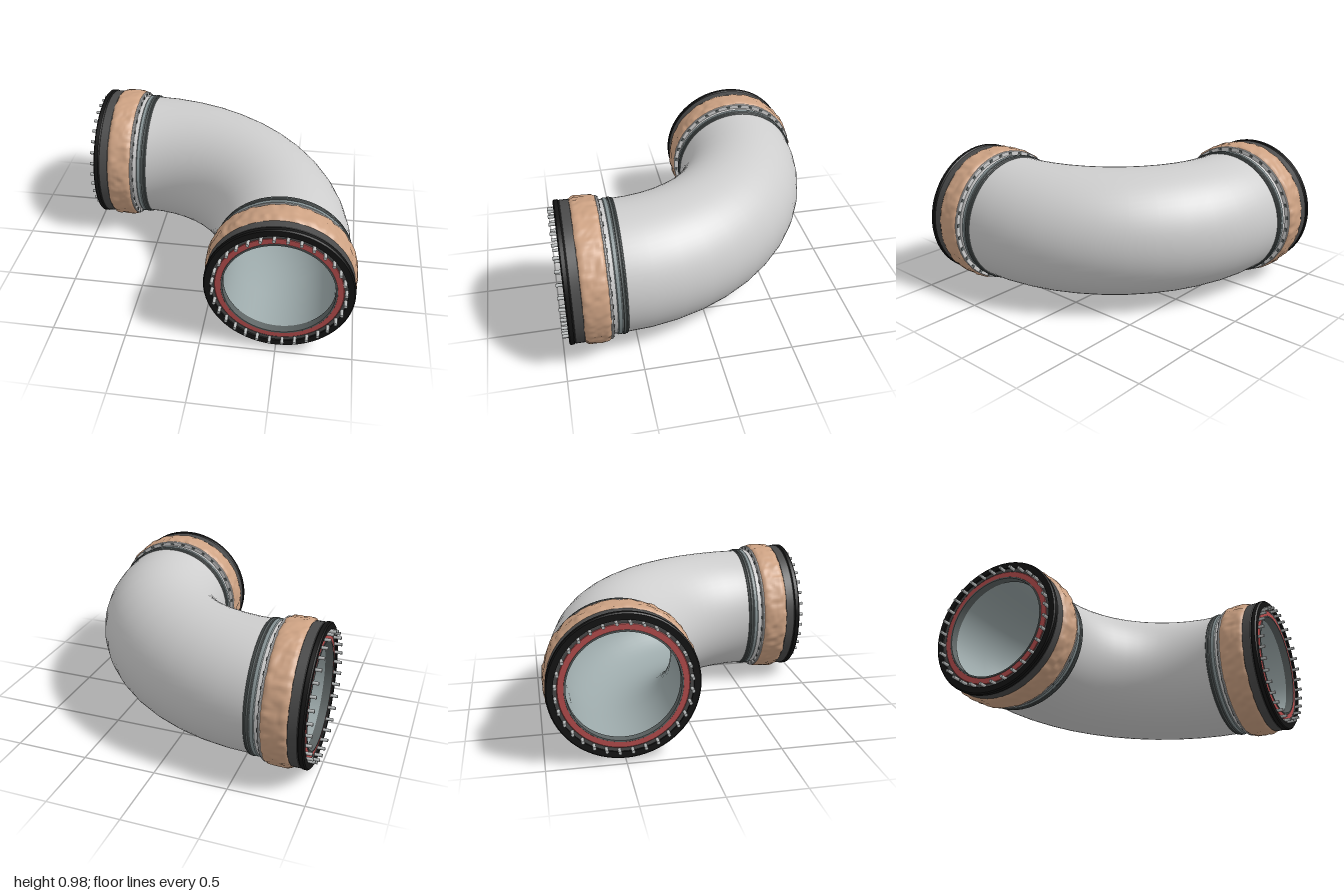
import * as THREE from 'three';
import { toCreasedNormals } from 'three/addons/utils/BufferGeometryUtils.js';

const TAU = Math.PI * 2;
const AXIS_Y = 0.495;      // height of the pipe's centre line
const BEND = 1.1;          // radius of the elbow's centre line
const OUTER = 0.445, INNER = 0.36;

const mat = (name, color, side = THREE.FrontSide) => {
  const m = new THREE.MeshStandardMaterial({ color, side });
  m.name = name;
  return m;
};

const colours = {
  pipe: mat('lightGrey', 0xcdcdcd),
  lining: mat('blueGrey', 0x9ba8a9, THREE.DoubleSide),
  steel: mat('steel', 0x869294),
  darkSteel: mat('darkSteel', 0x5c6363),
  wrap: mat('tan', 0xcda283),
  collar: mat('charcoal', 0x4a4a4a),
  black: mat('black', 0x141414),
  seal: mat('red', 0xb44c4c),
  pin: mat('paleMetal', 0xb9bcbc),
};

function add(parent, name, geometry, material) {
  const mesh = new THREE.Mesh(geometry, material);
  mesh.name = name;
  parent.add(mesh);
  return mesh;
}

// Closed ring about y, from radius r0 to r1 and height y0 to y1, with chamfered outer edges
function ring(r0, r1, y0, y1, c = 0.004) {
  const pts = [[r0, y0], [r1 - c, y0], [r1, y0 + c], [r1, y1 - c], [r1 - c, y1], [r0, y1], [r0, y0]];
  const g = new THREE.LatheGeometry(pts.map(p => new THREE.Vector2(...p)), 72);
  return toCreasedNormals(g, 0.6);
}

// Open straight sleeve about y
const sleeve = (r, y0, y1) =>
  new THREE.CylinderGeometry(r, r, y1 - y0, 64, 1, true).translate(0, (y0 + y1) / 2, 0);

// Repeatable value noise that wraps around the ring
function hash(i, j) {
  const s = Math.sin(i * 127.1 + j * 311.7) * 43758.5453;
  return s - Math.floor(s);
}
function noise(u, v, period) {
  const i = Math.floor(u), j = Math.floor(v);
  const f = t => t * t * (3 - 2 * t), a = f(u - i), b = f(v - j);
  const h = (di, dj) => hash((i + di) % period, j + dj);
  return (h(0, 0) * (1 - a) + h(1, 0) * a) * (1 - b) + (h(0, 1) * (1 - a) + h(1, 1) * a) * b;
}

// Wrinkled padded band: a rounded profile pushed in by noise stretched along the axis
function wrapGeometry() {
  const y0 = 0.68, y1 = 0.865, rows = 14, segs = 220;
  const pts = [new THREE.Vector2(0.44, y0 + 0.006)];
  for (let k = 0; k <= rows; k++) {
    const t = k / rows, e = Math.abs(2 * t - 1);
    pts.push(new THREE.Vector2(0.495 - 0.025 * e ** 6, y0 + (y1 - y0) * t));
  }
  pts.push(new THREE.Vector2(0.44, y1 - 0.004));
  const g = new THREE.LatheGeometry(pts, segs);
  const p = g.attributes.position;
  for (let i = 0; i < p.count; i++) {
    const x = p.getX(i), y = p.getY(i), z = p.getZ(i), r = Math.hypot(x, z);
    if (r < 0.45) continue;
    const turn = (Math.floor(i / pts.length) % segs) / segs;
    const dent = 0.011 * noise(turn * 80, y * 17, 80) + 0.006 * noise(turn * 110, y * 45 + 9, 110);
    const k = (r - dent) / r;
    p.setXYZ(i, x * k, y + 0.006 * (noise(turn * 60, 3, 60) - 0.5), z * k);
  }
  return toCreasedNormals(g, 0.7);
}

// Instanced ring of repeated pieces around y
function around(parent, name, count, geometry, material, radius, y) {
  const group = new THREE.Group();
  group.name = name;
  for (let i = 0; i < count; i++) {
    const a = (i + 0.5) / count * TAU;
    const m = add(group, name + (i + 1), geometry, material);
    m.position.set(Math.sin(a) * radius, y, Math.cos(a) * radius);
    m.rotation.y = a;
  }
  parent.add(group);
}

// One flanged pipe end, pointing along +y
function pipeEnd(name, wrap) {
  const end = new THREE.Group();
  end.name = name;
  add(end, 'pipeNeck', sleeve(OUTER, 0.6, 0.7), colours.pipe);
  add(end, 'lining', sleeve(INNER, 0.6, 0.955), colours.lining);

  // Clamp rings behind the flange
  add(end, 'darkClampRing', ring(0.43, 0.453, 0.575, 0.59), colours.darkSteel);
  add(end, 'darkClampBand', ring(0.43, 0.456, 0.59, 0.61), colours.darkSteel);
  add(end, 'steelClampBand', ring(0.43, 0.453, 0.611, 0.645, 0.006), colours.steel);

  // Back plate with small bolt heads
  add(end, 'backPlate', ring(0.43, 0.476, 0.674, 0.69), colours.pipe);
  around(end, 'boltHead', 32, new THREE.BoxGeometry(0.024, 0.01, 0.016), colours.darkSteel, 0.46, 0.673);

  add(end, 'paddedWrap', wrap, colours.wrap);
  add(end, 'greyCollar', ring(0.42, 0.472, 0.855, 0.921), colours.collar);
  add(end, 'blackRim', ring(0.43, 0.477, 0.92, 0.96, 0.008), colours.black);

  // End face: lip, red seal and pin track
  add(end, 'innerLip', ring(0.355, 0.366, 0.9, 0.955, 0.001), colours.darkSteel);
  add(end, 'redSeal', ring(0.366, 0.407, 0.9, 0.95), colours.seal);
  add(end, 'pinTrack', ring(0.407, 0.432, 0.9, 0.948, 0.001), colours.collar);
  around(end, 'pin', 32, new THREE.CylinderGeometry(0.011, 0.011, 0.06, 10), colours.pin, 0.42, 0.97);
  return end;
}

export function createModel() {
  const model = new THREE.Group();
  model.name = 'pipeElbow';

  // Quarter-turn elbow with an inner lining
  const elbow = r => new THREE.TorusGeometry(BEND, r, 64, 12, Math.PI / 2)
    .rotateX(-Math.PI / 2).translate(-0.6, AXIS_Y, 0.6);
  add(model, 'elbowShell', elbow(OUTER), colours.pipe);
  add(model, 'elbowLining', elbow(INNER), colours.lining);

  // Two matching ends
  const wrap = wrapGeometry();
  const front = pipeEnd('frontEnd', wrap);
  front.position.set(0.5, AXIS_Y, 0);
  front.rotation.x = Math.PI / 2;
  const side = pipeEnd('rightEnd', wrap);
  side.position.set(0, AXIS_Y, -0.5);
  side.rotation.z = Math.PI / 2;
  model.add(front, side);
  return model;
}
